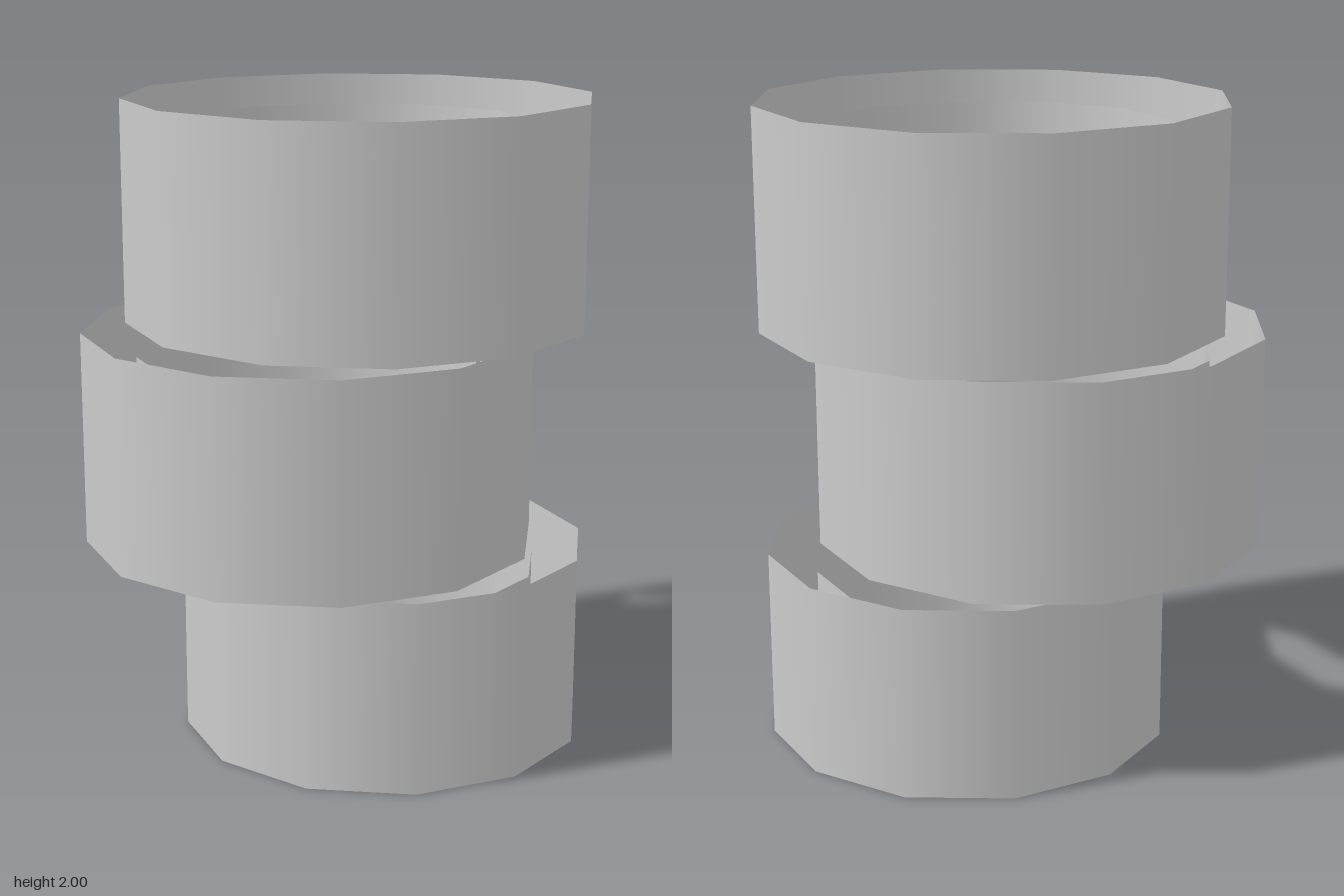
import * as THREE from 'three';

const material = new THREE.MeshStandardMaterial({ color: 0xcccccc, side: THREE.DoubleSide });

// Open twelve-sided tube, smooth shaded, turned so no vertex lies on an axis
function tube(name, radius, height) {
  const geometry = new THREE.CylinderGeometry(radius, radius, height, 12, 1, true, Math.PI / 8);
  const mesh = new THREE.Mesh(geometry, material);
  mesh.name = name;
  return mesh;
}

// Ring: an outer wall with a smaller, shorter inner wall around the same centre
function ring(name, radius, bottom, top, x, z) {
  const innerScale = 0.76;
  const height = top - bottom;
  const group = new THREE.Group();
  group.name = name;
  group.add(
    tube('outerWall', radius, height),
    tube('innerWall', radius * innerScale, height * innerScale)
  );
  group.position.set(x, (bottom + top) / 2, z);
  return group;
}

export function createModel() {
  const model = new THREE.Group();
  model.name = 'stackedRings';
  // Loosely stacked rings, each shifted sideways
  model.add(
    ring('bottomRing', 0.637, 0, 0.6, 0.096, -0.107),
    ring('middleRing', 0.708, 0.625, 1.292, -0.049, 0.077),
    ring('topRing', 0.724, 1.317, 2, 0.028, -0.058)
  );
  return model;
}
